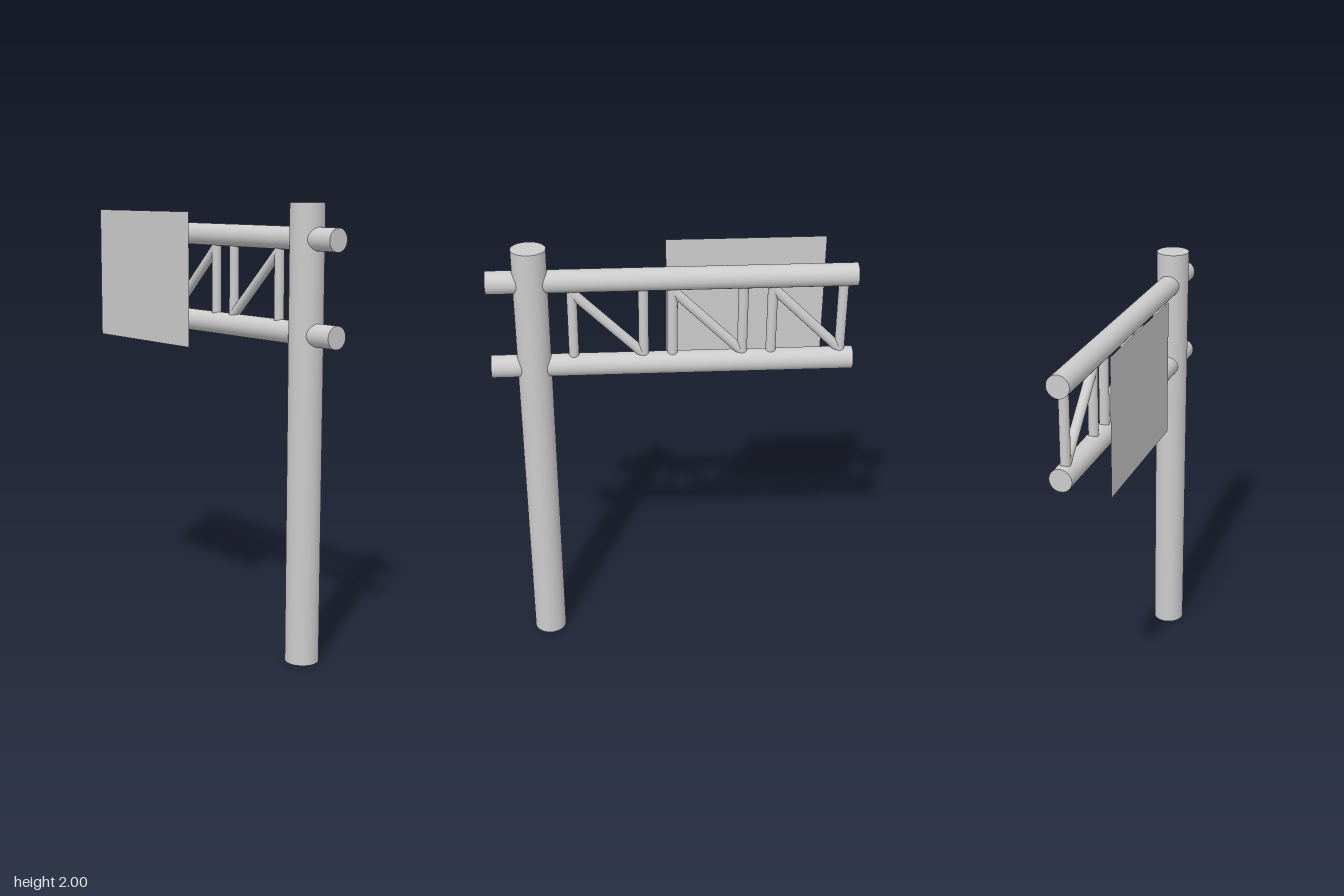
import * as THREE from 'three';

const SIDES = 32;
const AXIS_Z = -0.05; // pole and truss share one plane

export function createModel() {
  const model = new THREE.Group();
  model.name = 'cantileverSignGantry';
  const material = new THREE.MeshStandardMaterial({ color: 0xcccccc });

  // Round tube between two points in the truss plane
  function tube(name, radius, x1, y1, x2, y2, parent = model) {
    const a = new THREE.Vector3(x1, y1, AXIS_Z);
    const b = new THREE.Vector3(x2, y2, AXIS_Z);
    const dir = b.clone().sub(a);
    const mesh = new THREE.Mesh(new THREE.CylinderGeometry(radius, radius, dir.length(), SIDES), material);
    mesh.position.copy(a).add(b).multiplyScalar(0.5);
    mesh.quaternion.setFromUnitVectors(new THREE.Vector3(0, 1, 0), dir.normalize());
    mesh.name = name;
    parent.add(mesh);
  }

  // Upright pole
  tube('pole', 0.075, 0.607, 0, 0.607, 2);

  // Two horizontal beams
  tube('lowerBeam', 0.05, -0.795, 1.45, 0.795, 1.45);
  tube('upperBeam', 0.05, -0.795, 1.85, 0.795, 1.85);

  // Three truss bays: two posts and a rising diagonal each
  const bayWidth = 0.306;
  for (let i = 0; i < 3; i++) {
    const bay = new THREE.Group();
    bay.name = `trussBay${i + 1}`;
    const left = -0.738 + i * 0.4325;
    const right = left + bayWidth;
    tube('leftPost', 0.022, left, 1.45, left, 1.85, bay);
    tube('rightPost', 0.022, right, 1.45, right, 1.85, bay);
    tube('diagonalBrace', 0.022, left, 1.495, right, 1.795, bay);
    model.add(bay);
  }

  // Flat sign panel in front of the truss
  const panelMaterial = material.clone();
  panelMaterial.side = THREE.DoubleSide;
  const panel = new THREE.Mesh(new THREE.PlaneGeometry(0.705, 0.605), panelMaterial);
  panel.name = 'signPanel';
  panel.position.set(-0.332, 1.652, 0.125);
  model.add(panel);

  return model;
}
